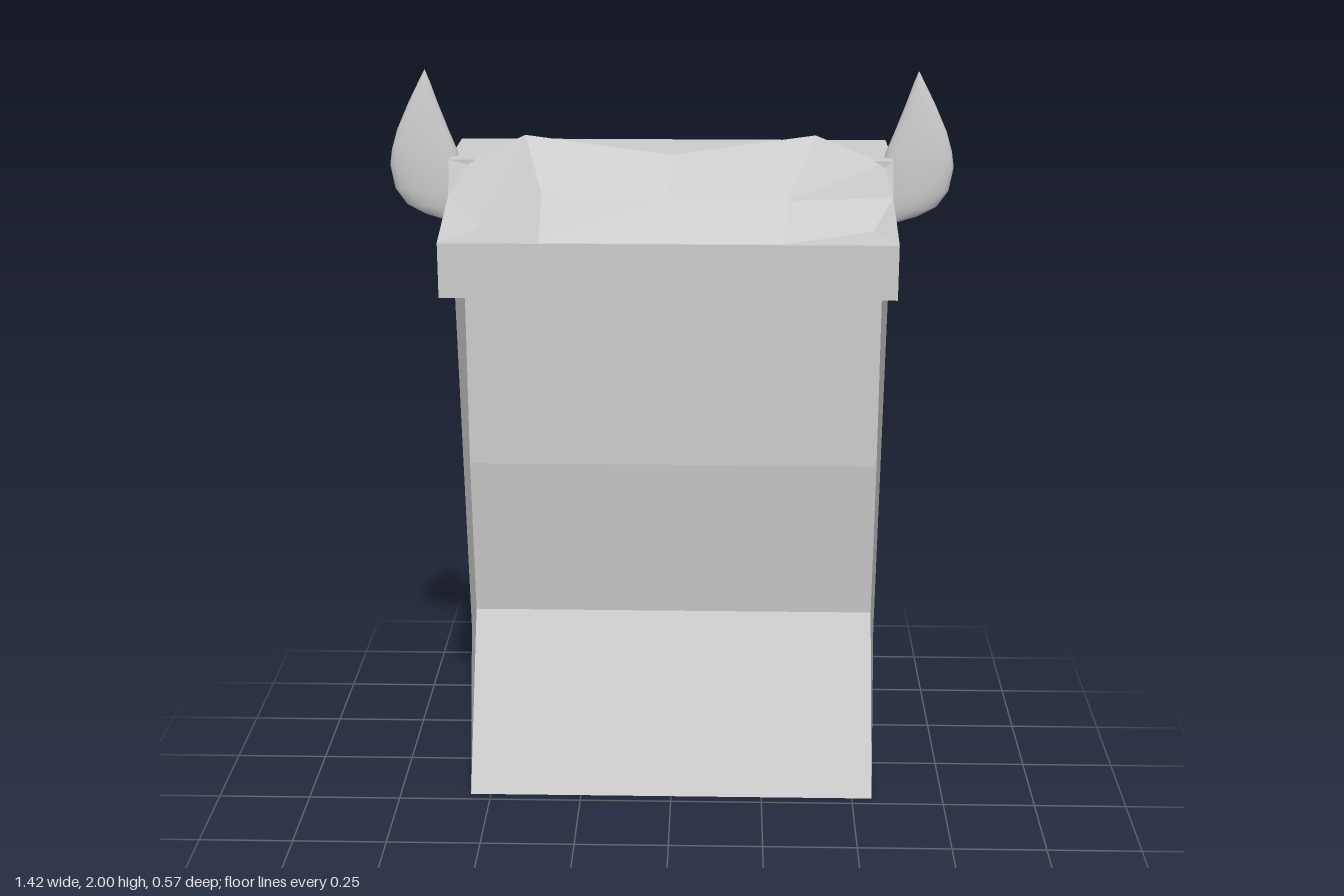
import * as THREE from 'three';

const mat = new THREE.MeshStandardMaterial({ color: 0xcccccc, side: THREE.DoubleSide });
const W = 0.555; // half width of the cabinet

// Flat polygons, each a list of [x, y, z] corners, fanned into triangles
function facets(name, polygons) {
  const pos = [];
  for (const p of polygons)
    for (let i = 1; i < p.length - 1; i++) pos.push(...p[0], ...p[i], ...p[i + 1]);
  const g = new THREE.BufferGeometry();
  g.setAttribute('position', new THREE.Float32BufferAttribute(pos, 3));
  g.computeVertexNormals();
  const m = new THREE.Mesh(g, mat);
  m.name = name;
  return m;
}

function box(name, y0, y1, z0, z1) {
  const m = new THREE.Mesh(new THREE.BoxGeometry(2 * W, y1 - y0, z1 - z0), mat);
  m.position.set(0, (y0 + y1) / 2, (z0 + z1) / 2);
  m.name = name;
  return m;
}

// Thin side wall with the pinched front edge
function sideWall(s) {
  const shape = new THREE.Shape([[-0.285, 0], [-0.03, 0], [-0.165, 0.45], [-0.02, 1.5], [-0.285, 1.5]]
    .map(([z, y]) => new THREE.Vector2(-z, y)));
  const m = new THREE.Mesh(new THREE.ShapeGeometry(shape), mat);
  m.rotation.y = Math.PI / 2;
  m.position.x = s * W;
  m.name = s > 0 ? 'leftWall' : 'rightWall';
  return m;
}

// Recessed front: sloping kick panel, leaning panel, upright panel
function frontPanel() {
  const profile = [[0, -0.03], [0.45, -0.284], [0.9, -0.237], [1.5, -0.237]];
  const polys = [];
  for (let i = 0; i < 3; i++) {
    const [[ya, za], [yb, zb]] = [profile[i], profile[i + 1]];
    polys.push([[-W, ya, za], [W, ya, za], [W, yb, zb], [-W, yb, zb]]);
  }
  return facets('frontPanel', polys);
}

// Back plate, hollowed at the foot, with a triangular foot at each corner
function backPanel() {
  const q = W / 2, b = -0.285, f = -0.03;
  const polys = [
    [[W, 0.45, b], [-W, 0.45, b], [-W, 1.5, b], [W, 1.5, b]],
    [[q, 0, f], [-q, 0, f], [-q, 0.45, b], [q, 0.45, b]],
  ];
  for (const s of [-1, 1]) {
    const ring = [[s * q, 0.45, b], [s * W, 0.45, b], [s * W, 0, b], [s * q, 0, f]];
    const mid = [s * 0.75 * W, 0.225, (3 * b + f) / 4];
    ring.forEach((p, i) => {
      const n = ring[(i + 1) % 4];
      polys.push(s > 0 ? [mid, n, p] : [mid, p, n]);
    });
    const foot = [[s * W, 0, b], [s * W, 0, f], [s * q, 0, f]];
    polys.push(s > 0 ? foot.reverse() : foot);
  }
  return facets('backPanel', polys);
}

// Faceted hood rising from the shelf's front edge
function hood() {
  const polys = [];
  const top = [0, 1.8, 0.01], mid = [0, 1.72, 0.16], low = [0, 1.637, 0.284];
  const sides = [
    { s: -1, peak: [-0.36, 1.85, 0.02], bend: [-0.31, 1.735, 0.17], toe: [-0.47, 1.64, 0.14],
      rim: [-W, 1.7, 0.04], shoulder: [-0.5, 1.785, 0.005], front: [-0.31, 1.637, 0.284] },
    { s: 1, peak: [0.36, 1.85, 0.01], bend: [0.29, 1.715, 0.155], toe: [0.5, 1.64, 0.155],
      rim: [W, 1.7, 0.04], shoulder: [0.53, 1.78, 0.005], front: [0.28, 1.637, 0.284] },
  ];
  for (const { s, peak, bend, toe, rim, shoulder, front } of sides) {
    const corner = [s * W, 1.637, 0.284];
    const half = [
      [mid, bend, peak, top],
      [low, front, bend, mid],
      [bend, toe, rim, shoulder, peak],
      [front, corner, toe],
      [front, toe, bend],
      [corner, rim, toe],
      [rim, [s * W, 1.785, 0.01], shoulder],
    ];
    polys.push(...(s > 0 ? half : half.map((p) => p.reverse())));
  }
  return facets('hood', polys);
}

// Flattened horn lofted from elliptical cross-sections
function horn(s) {
  // height, inner x, outer x, half thickness
  const rows = [[1.615, 0.55, 0.56, 0.004], [1.635, 0.535, 0.625, 0.018], [1.66, 0.53, 0.672, 0.027],
    [1.7, 0.53, 0.7, 0.032], [1.76, 0.53, 0.711, 0.033], [1.8, 0.54, 0.705, 0.032],
    [1.85, 0.56, 0.69, 0.029], [1.92, 0.586, 0.658, 0.021], [1.97, 0.603, 0.632, 0.012], [2, 0.615, 0.616, 0.001]];
  const N = 20, pos = [], index = [];
  rows.forEach(([y, a, b, t], r) => {
    for (let i = 0; i < N; i++) {
      const u = (i / N) * 2 * Math.PI;
      pos.push(s * ((a + b) / 2 + ((b - a) / 2) * Math.cos(s * u)), y, -0.05 + t * Math.sin(s * u));
      if (r === 0) continue;
      const k = r * N + i, n = r * N + ((i + 1) % N);
      index.push(k - N, k, n - N, n - N, k, n);
    }
  });
  const g = new THREE.BufferGeometry();
  g.setAttribute('position', new THREE.Float32BufferAttribute(pos, 3));
  g.setIndex(index);
  g.computeVertexNormals();
  const m = new THREE.Mesh(g, mat);
  m.name = s > 0 ? 'leftHorn' : 'rightHorn';
  return m;
}

export function createModel() {
  const group = new THREE.Group();
  group.name = 'hornedCabinet';
  group.add(
    box('head', 1.5, 1.785, -0.285, 0.01),
    box('shelf', 1.5, 1.635, 0.01, 0.285),
    frontPanel(), backPanel(), hood(),
  );
  for (const s of [-1, 1]) group.add(sideWall(s), horn(s));
  return group;
}
